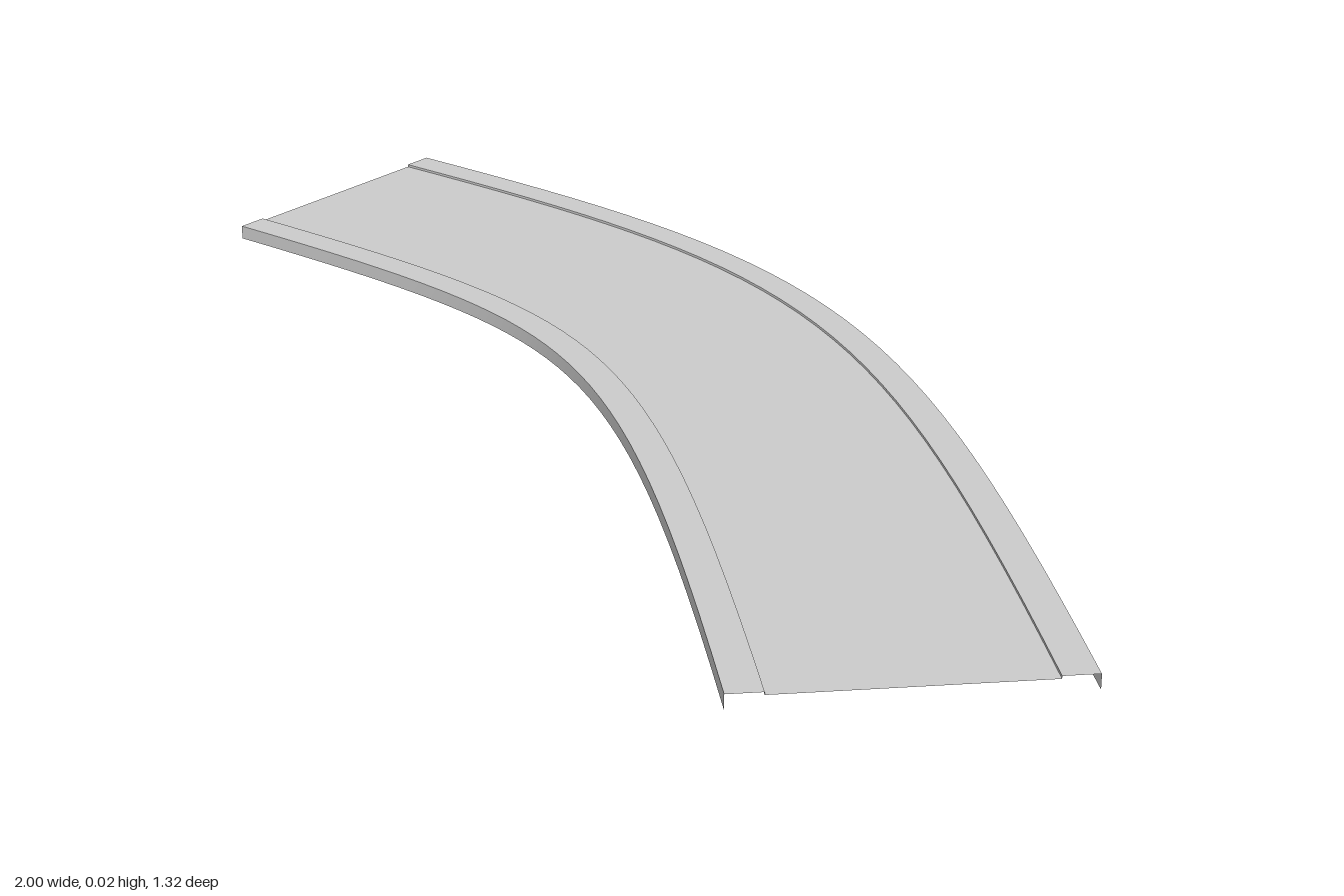
import * as THREE from 'three';
import { mergeGeometries } from 'three/addons/utils/BufferGeometryUtils.js';

const STEPS = 32;
const HALF = 0.235;   // half width of the whole strip
const KERB = 0.05;    // kerb width
const TOP = 0.022;    // kerb height
const DECK = 0.018;   // road surface height

// Centre line in plan (x, z): straight start easing into a 45 degree turn
const path = new THREE.CubicBezierCurve(
  new THREE.Vector2(-1, -0.425),
  new THREE.Vector2(-0.2, -0.425),
  new THREE.Vector2(-0.02, -0.355),
  new THREE.Vector2(0.83, 0.495)
);

// Sweeps the line between two profile points [offset, height] along the path
function sweep([s0, y0], [s1, y1]) {
  const positions = [];
  const index = [];
  for (let i = 0; i <= STEPS; i++) {
    const p = path.getPoint(i / STEPS);
    const t = path.getTangent(i / STEPS);
    for (const [s, y] of [[s0, y0], [s1, y1]]) {
      positions.push(p.x + t.y * s, y, p.y - t.x * s);
    }
    if (i < STEPS) {
      const a = 2 * i;
      index.push(a, a + 2, a + 3, a, a + 3, a + 1);
    }
  }
  const geometry = new THREE.BufferGeometry();
  geometry.setAttribute('position', new THREE.Float32BufferAttribute(positions, 3));
  geometry.setIndex(index);
  geometry.computeVertexNormals();
  return geometry;
}

// Joins one swept strip per profile segment, so corners stay sharp
function sweepProfile(profile) {
  return mergeGeometries(profile.slice(1).map((point, i) => sweep(profile[i], point)));
}

export function createModel() {
  const group = new THREE.Group();
  const material = new THREE.MeshStandardMaterial({ color: 0xcccccc, side: THREE.DoubleSide });

  const add = (name, profile) => {
    const mesh = new THREE.Mesh(sweepProfile(profile), material);
    mesh.name = name;
    group.add(mesh);
  };

  // Road surface, open underneath and at both ends
  const edge = HALF - KERB;
  add('roadSurface', [[-edge, DECK], [edge, DECK]]);

  // Kerbs: outer wall, flat top and a small step down to the road
  const kerb = [[HALF, 0], [HALF, TOP], [edge, TOP], [edge, DECK]];
  add('innerKerb', kerb.map(([s, y]) => [-s, y]));
  add('outerKerb', [...kerb].reverse());

  return group;
}
